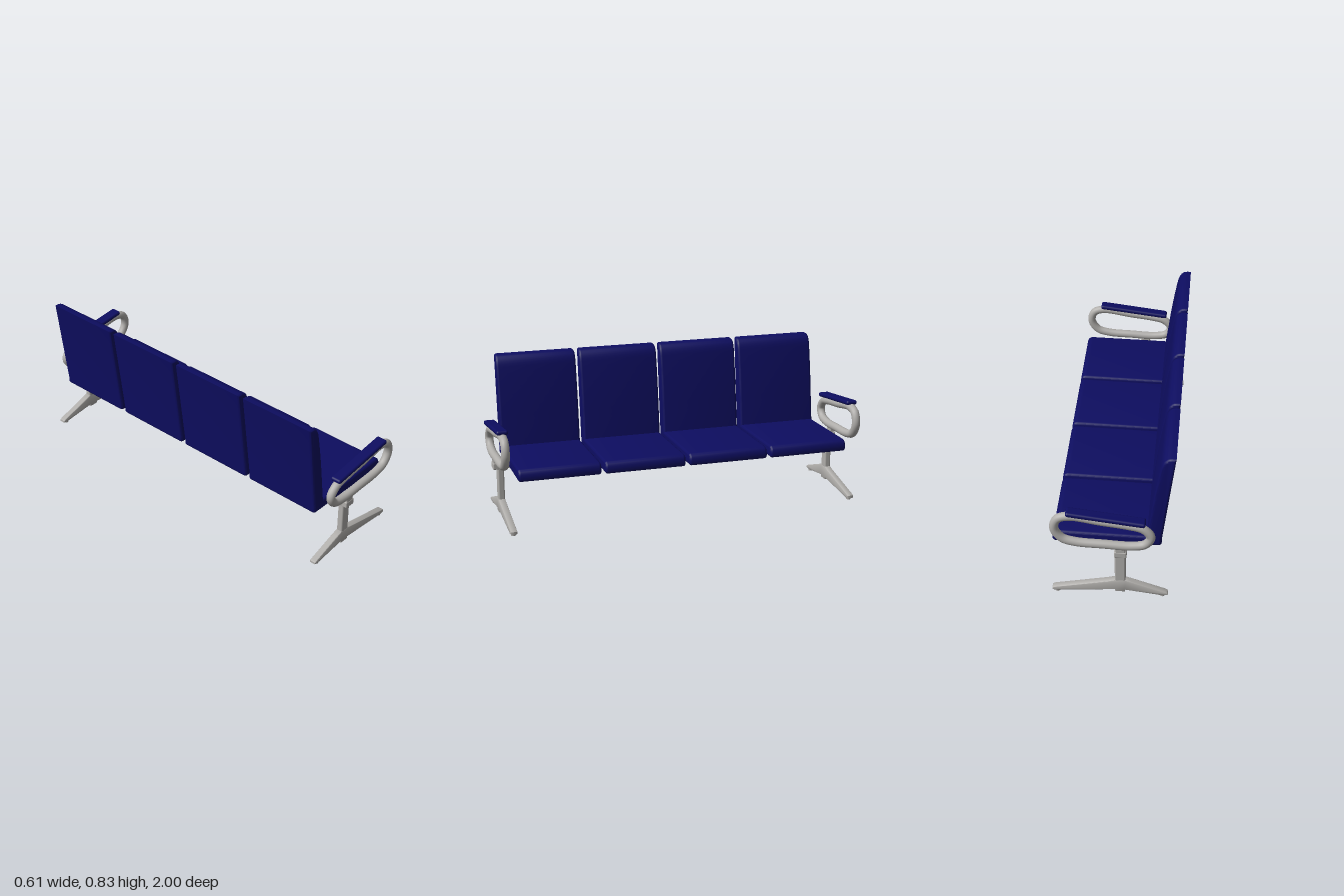
import * as THREE from 'three';
import { toCreasedNormals } from 'three/addons/utils/BufferGeometryUtils.js';
import { RoundedBoxGeometry } from 'three/addons/geometries/RoundedBoxGeometry.js';

const upholstery = new THREE.MeshStandardMaterial({ name: 'navy upholstery', color: 0x0d0d60 });
const metal = new THREE.MeshStandardMaterial({ name: 'grey metal', color: 0xb0aeab });

function add(parent, name, geometry, material, x = 0, y = 0, z = 0) {
  const mesh = new THREE.Mesh(geometry, material);
  mesh.name = name;
  mesh.position.set(x, y, z);
  parent.add(mesh);
  return mesh;
}

// Side profile extruded along z, centred, with rounded rims inside the outline
function extrudeProfile(shape, width, bevel) {
  const geometry = new THREE.ExtrudeGeometry(shape, {
    depth: width - 2 * bevel, bevelThickness: bevel, bevelSize: bevel,
    bevelOffset: -bevel, bevelSegments: 4, curveSegments: 8,
  });
  geometry.translate(0, 0, bevel - width / 2);
  return toCreasedNormals(geometry, 0.7);
}

// One-piece cushion: seat and tapering backrest
function seatGeometry() {
  const s = new THREE.Shape();
  s.moveTo(-0.306, 0.827);
  s.lineTo(-0.243, 0.325);
  s.lineTo(-0.243, 0.306);
  s.quadraticCurveTo(-0.243, 0.288, -0.225, 0.288);
  s.lineTo(0.282, 0.288);
  s.quadraticCurveTo(0.303, 0.288, 0.303, 0.308);
  s.quadraticCurveTo(0.303, 0.352, 0.268, 0.352);
  s.lineTo(-0.168, 0.343);
  s.lineTo(-0.184, 0.46);
  s.quadraticCurveTo(-0.203, 0.62, -0.232, 0.765);
  s.quadraticCurveTo(-0.244, 0.826, -0.285, 0.827);
  s.closePath();
  return extrudeProfile(s, 0.438, 0.014);
}

// Two-toed floor foot with a hub for the post
function footGeometry() {
  const s = new THREE.Shape();
  s.moveTo(-0.281, 0.012);
  s.lineTo(-0.252, 0.009);
  s.lineTo(-0.067, 0.034);
  s.lineTo(-0.064, 0.022);
  s.lineTo(-0.016, 0.022);
  s.lineTo(-0.013, 0.034);
  s.lineTo(0.278, 0.009);
  s.lineTo(0.304, 0.012);
  s.lineTo(0.304, 0.026);
  s.lineTo(0.293, 0.032);
  s.lineTo(0.02, 0.088);
  s.lineTo(-0.013, 0.098);
  s.lineTo(-0.067, 0.098);
  s.lineTo(-0.1, 0.087);
  s.lineTo(-0.268, 0.029);
  s.lineTo(-0.28, 0.022);
  s.closePath();
  return extrudeProfile(s, 0.036, 0.005);
}

// Closed armrest loop
function armLoopGeometry() {
  const points = [
    [-0.193, 0.4], [-0.167, 0.353], [-0.1, 0.337], [0.04, 0.341], [0.18, 0.349],
    [0.247, 0.371], [0.283, 0.43], [0.266, 0.488], [0.21, 0.508], [0.05, 0.486],
    [-0.08, 0.468], [-0.155, 0.448],
  ].map(([x, y]) => new THREE.Vector3(x, y, 0));
  const curve = new THREE.CatmullRomCurve3(points, true, 'centripetal');
  return new THREE.TubeGeometry(curve, 96, 0.0225, 16, true);
}

export function createModel() {
  const model = new THREE.Group();
  model.name = 'beamSeating';

  const seat = seatGeometry();
  for (let i = 0; i < 4; i++) {
    add(model, `seat${i + 1}`, seat, upholstery, 0, 0, 0.69 - i * 0.4583);
  }

  add(model, 'beam', new RoundedBoxGeometry(0.056, 0.028, 1.94, 3, 0.006), metal, -0.043, 0.282, 0);

  const foot = footGeometry();
  const loop = armLoopGeometry();
  for (const side of [1, -1]) {
    const end = new THREE.Group();
    end.name = side > 0 ? 'leftEnd' : 'rightEnd';
    model.add(end);
    const z = 0.942 * side;

    // Leg
    add(end, 'foot', foot, metal, 0, 0, z);
    add(end, 'post', new RoundedBoxGeometry(0.054, 0.22, 0.034, 3, 0.008), metal, -0.04, 0.18, z);
    for (const x of [-0.252, 0.278]) {
      add(end, 'footPad', new THREE.CylinderGeometry(0.013, 0.013, 0.014, 16), metal, x, 0.007, z);
    }

    // Collar joining post, beam and armrest
    add(end, 'collar', new RoundedBoxGeometry(0.062, 0.036, 0.062, 3, 0.006), metal, -0.043, 0.283, 0.952 * side);
    add(end, 'armBracket', new RoundedBoxGeometry(0.05, 0.04, 0.028, 3, 0.006), metal, -0.043, 0.303, 0.967 * side);

    // Armrest
    add(end, 'armLoop', loop, metal, 0, 0, 0.968 * side);
    const pad = add(end, 'armPad', new RoundedBoxGeometry(0.394, 0.025, 0.062, 4, 0.012), upholstery,
      0.028, 0.511, 0.969 * side);
    pad.rotation.z = 0.125;
  }
  return model;
}
